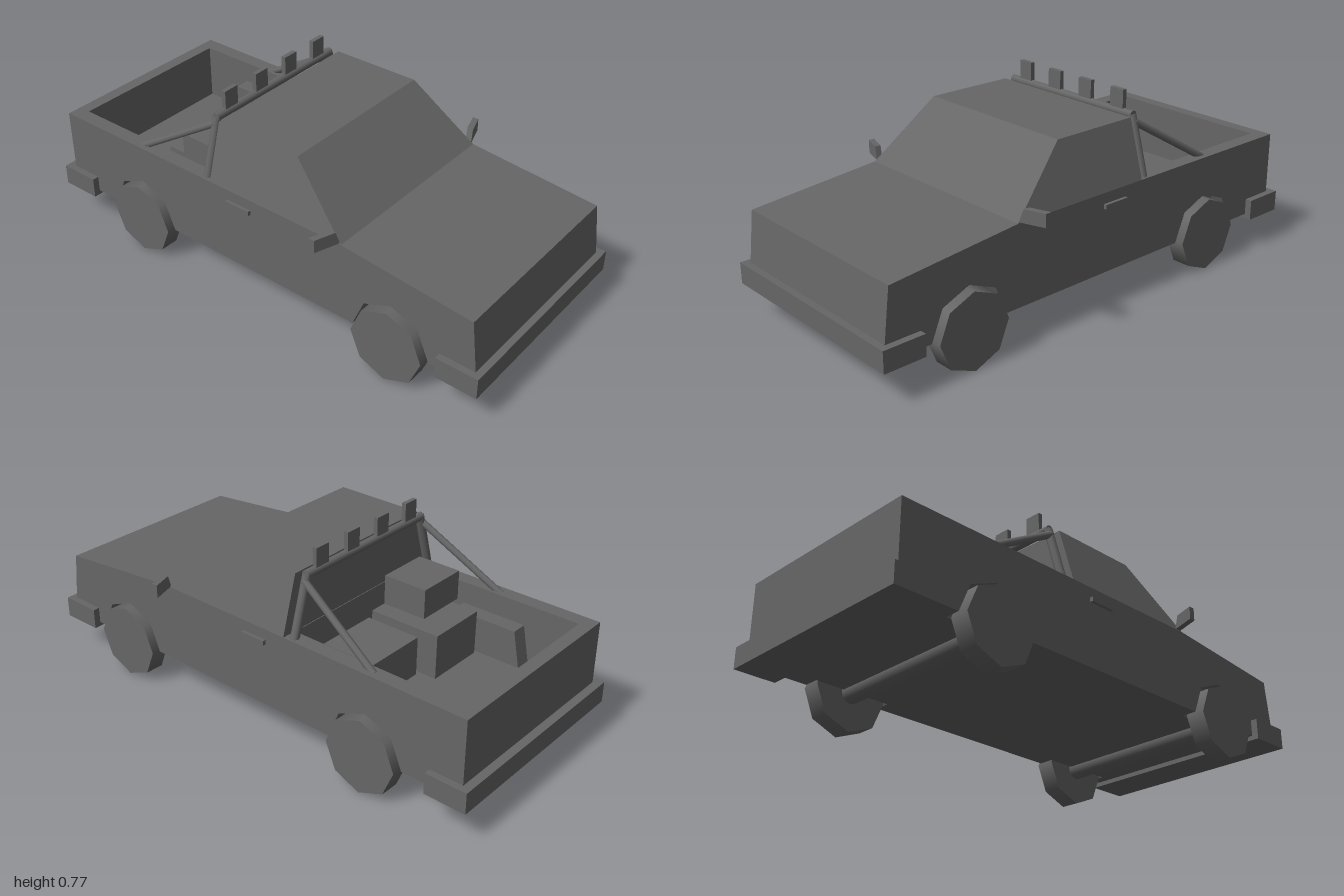
import * as THREE from 'three';
import { ConvexGeometry } from 'three/addons/geometries/ConvexGeometry.js';

const flat = new THREE.MeshStandardMaterial({ color: 0x666666, flatShading: true });
const smooth = new THREE.MeshStandardMaterial({ color: 0x666666 });
const AXLES = [-0.561, 0.629];
const WHEEL_R = 0.148;
const BAR_X = -0.226;
const SIDES = [['Left', -1], ['Right', 1]];

export function createModel() {
  const truck = new THREE.Group();
  truck.name = 'pickupTruck';

  const add = (name, geometry, material = flat) => {
    const mesh = new THREE.Mesh(geometry, material);
    mesh.name = name;
    truck.add(mesh);
    return mesh;
  };
  // Box given by its limits on each axis
  const box = (name, x0, x1, y0, y1, z0, z1) =>
    add(name, new THREE.BoxGeometry(x1 - x0, y1 - y0, z1 - z0))
      .position.set((x0 + x1) / 2, (y0 + y1) / 2, (z0 + z1) / 2);
  // Side profile (x, y) extruded from z0 to z1
  const slab = (name, points, z0, z1) => {
    const shape = new THREE.Shape(points.map(p => new THREE.Vector2(...p)));
    const geometry = new THREE.ExtrudeGeometry(shape, { depth: z1 - z0, bevelEnabled: false });
    add(name, geometry.translate(0, 0, z0));
  };
  // Round bar between two points
  const bar = (name, a, b, radius, sides = 8) => {
    const from = new THREE.Vector3(...a), to = new THREE.Vector3(...b);
    const dir = to.clone().sub(from);
    const mesh = add(name, new THREE.CylinderGeometry(radius, radius, dir.length(), sides), smooth);
    mesh.position.copy(from).add(to).multiplyScalar(0.5);
    mesh.quaternion.setFromUnitVectors(new THREE.Vector3(0, 1, 0), dir.normalize());
  };
  // Solid hull of corner points, with z multiplied by each given sign
  const hull = (name, corners, signs) =>
    add(name, new ConvexGeometry(signs.flatMap(s => corners.map(([x, y, z]) => new THREE.Vector3(x, y, s * z)))));

  // Body core: bed floor, tailgate, engine bay and hood
  const nose = [[0.414, 0.465], [0.949, 0.414], [0.973, 0.215], [0.973, 0.15]];
  slab('bodyCore', [[-0.967, 0.15], [-0.967, 0.465], [-0.916, 0.465], [-0.916, 0.235],
    [-0.197, 0.235], [-0.197, 0.465], ...nose], -0.35, 0.35);

  // Side panels with faceted wheel arches
  const arches = [...AXLES].reverse().flatMap(cx => [0, 1, 2, 3, 4].map(i => {
    const a = i * Math.PI / 4;
    return [cx + 0.16 * Math.cos(a), 0.15 + 0.16 * Math.sin(a)];
  }));
  const panel = [[-0.967, 0.15], [-0.967, 0.465], ...nose, ...arches];
  slab('sidePanelRight', panel, 0.35, 0.41);
  slab('sidePanelLeft', panel, -0.41, -0.35);

  // Cabin with sloping windshield and leaning sides
  hull('cabin', [[-0.194, 0.465, 0.41], [0.414, 0.465, 0.41], [0.172, 0.69, 0.345], [-0.194, 0.69, 0.345]], [-1, 1]);

  // Bumpers
  box('frontBumper', 0.832, 1, 0.132, 0.215, -0.437, 0.437);
  box('rearBumper', -1, -0.834, 0.132, 0.215, -0.437, 0.437);

  // Eight-sided wheels and axles
  for (const [i, x] of AXLES.entries()) {
    const end = i ? 'front' : 'rear';
    bar(end + 'Axle', [x, WHEEL_R, -0.37], [x, WHEEL_R, 0.37], 0.04, 16);
    for (const [side, s] of SIDES) {
      const wheel = new THREE.CylinderGeometry(WHEEL_R, WHEEL_R, 0.077, 8).rotateX(Math.PI / 2);
      add(end + 'Wheel' + side, wheel, smooth).position.set(x, WHEEL_R, s * 0.3985);
    }
  }

  for (const [side, s] of SIDES) {
    // Wheel housing inside the bed
    slab('wheelHousing' + side, [[-0.727, 0.23], [-0.4, 0.23], [-0.428, 0.378], [-0.697, 0.378]],
      s > 0 ? 0.285 : -0.355, s > 0 ? 0.355 : -0.285);

    // Door handle
    box('doorHandle' + side, -0.108, 0.002, 0.405, 0.423, s * 0.415 - 0.008, s * 0.415 + 0.008);

    // Swept mirror
    hull('mirror' + side, [[0.382, 0.467, 0.405], [0.407, 0.467, 0.405], [0.376, 0.518, 0.423], [0.401, 0.518, 0.423],
      [0.349, 0.467, 0.503], [0.374, 0.467, 0.503], [0.349, 0.518, 0.503], [0.374, 0.518, 0.503]], [s]);

    // Roll bar post and brace
    bar('rollBarPost' + side, [BAR_X, 0.45, s * 0.389], [BAR_X, 0.688, s * 0.32], 0.017);
    bar('rollBarBrace' + side, [BAR_X, 0.665, s * 0.332], [-0.572, 0.455, s * 0.378], 0.014);
  }

  // Roll bar top with four lamps
  bar('rollBarTop', [BAR_X, 0.688, -0.328], [BAR_X, 0.688, 0.328], 0.017);
  for (const z of [-0.249, -0.083, 0.083, 0.249]) {
    box('roofLamp', -0.236, -0.218, 0.692, 0.775, z - 0.0325, z + 0.0325);
  }

  // Cargo boxes in the bed
  box('cargoBoxLarge', -0.54, -0.243, 0.235, 0.412, 0.023, 0.272);
  box('cargoBoxSide', -0.468, -0.243, 0.235, 0.39, -0.25, 0.004);
  box('cargoBoxTop', -0.427, -0.243, 0.412, 0.53, 0.095, 0.307);

  return truck;
}
